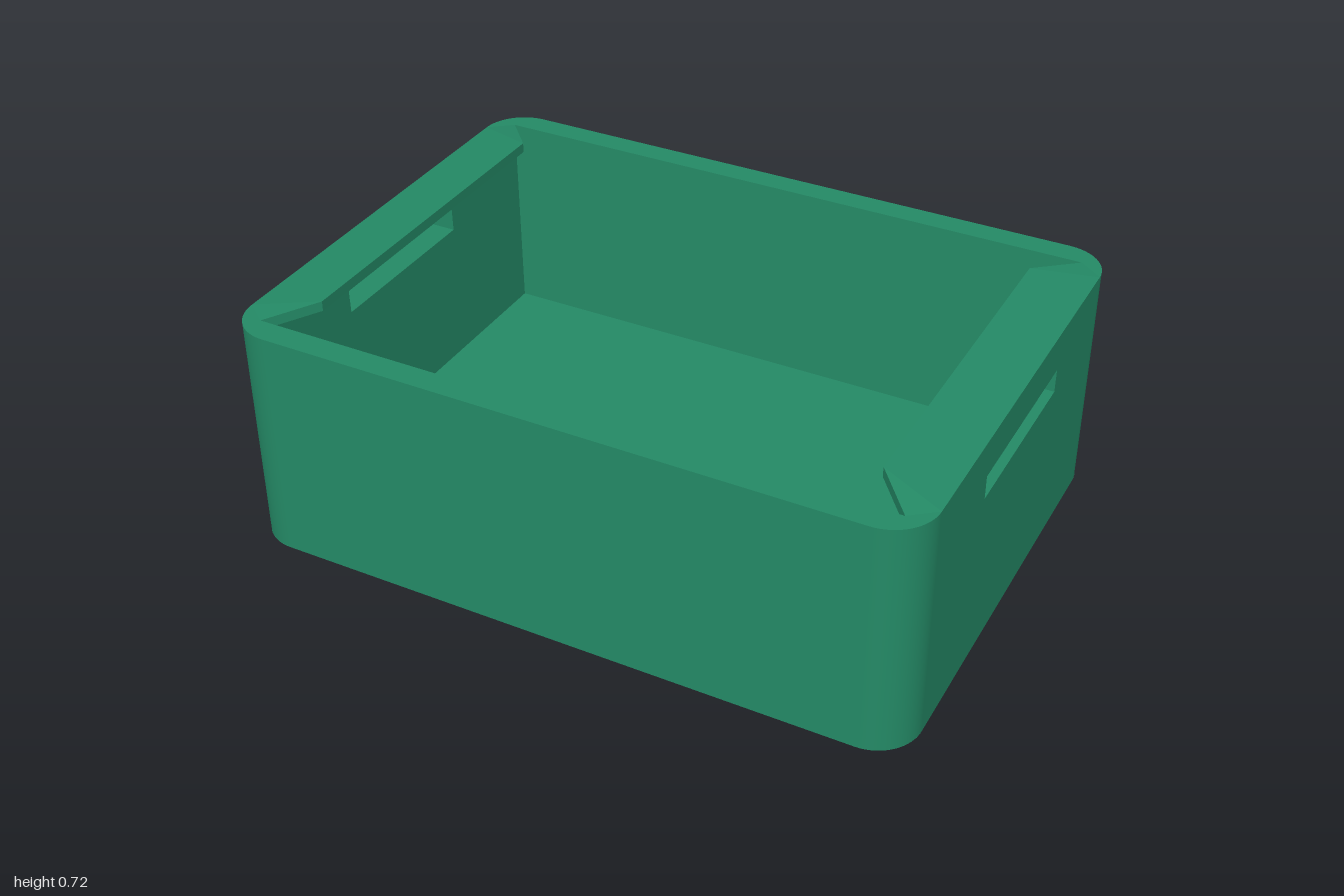
import * as THREE from 'three';

const W = 1, D = 0.73, H = 0.7, R = 0.13;       // outer half width, half depth, height, corner radius
const IX = 0.93, IZ = 0.655, DRAFT = 0.015;     // opening half sizes and wall taper
const FLOOR = 0.09;
const FX = 0.82, FZ = 0.525, FY = 0.72, T = 0.03; // inner edge of the end lip
const SZ = 0.27, SY0 = 0.515, SY1 = 0.585;      // handle slot

const green = new THREE.MeshStandardMaterial({ color: 0x248a66, side: THREE.DoubleSide });
green.name = 'green plastic';

// Flat-shaded polygons, each a list of 3 or 4 corners
function polygons(list) {
  const pos = [];
  for (const p of list)
    for (let i = 1; i < p.length - 1; i++) pos.push(...p[0], ...p[i], ...p[i + 1]);
  const g = new THREE.BufferGeometry();
  g.setAttribute('position', new THREE.Float32BufferAttribute(pos, 3));
  g.computeVertexNormals();
  return g;
}

function add(parent, name, geometry) {
  const m = new THREE.Mesh(geometry, green);
  m.name = name;
  parent.add(m);
  return m;
}

const innerX = y => IX - DRAFT * (H - y) / (H - FLOOR);

// Wall outline with the handle slot cut out
function slottedPanel(y0, halfBottom, halfTop) {
  const s = new THREE.Shape([[-halfBottom, y0], [halfBottom, y0], [halfTop, H], [-halfTop, H]]
    .map(p => new THREE.Vector2(...p)));
  s.holes.push(new THREE.Path([[-SZ, SY0], [-SZ, SY1], [SZ, SY1], [SZ, SY0]]
    .map(p => new THREE.Vector2(...p))));
  return new THREE.ShapeGeometry(s);
}

// Long wall on +z with its two rounded corners
function longWall() {
  const g = new THREE.Group();
  add(g, 'outerLongWall', new THREE.PlaneGeometry(2 * (W - R), H).translate(0, H / 2, D));
  const bx = IX - DRAFT, bz = IZ - DRAFT;
  add(g, 'innerLongWall', polygons([
    [[-bx, FLOOR, bz], [-IX, H, IZ], [IX, H, IZ], [bx, FLOOR, bz]]]));
  for (const s of [1, -1])
    add(g, 'roundedCorner', new THREE.CylinderGeometry(R, R, H, 10, 1, true, s > 0 ? 0 : -Math.PI / 2, Math.PI / 2)
      .translate(s * (W - R), H / 2, D - R));
  const rim = new THREE.Shape();
  rim.moveTo(IX, -IZ);
  rim.lineTo(W, R - D);
  rim.absarc(W - R, R - D, R, 0, -Math.PI / 2, true);
  rim.absarc(R - W, R - D, R, -Math.PI / 2, -Math.PI, true);
  rim.lineTo(-IX, -IZ);
  add(g, 'longRim', new THREE.ShapeGeometry(rim, 10).rotateX(-Math.PI / 2).translate(0, H, 0));
  return g;
}

// End wall on +x with handle slot and raised lip
function endWall() {
  const g = new THREE.Group();
  add(g, 'outerEndWall', slottedPanel(0, D - R, D - R).rotateY(Math.PI / 2).translate(W, 0, 0));

  const inner = slottedPanel(FLOOR, IZ - DRAFT, IZ).rotateY(-Math.PI / 2);
  const p = inner.attributes.position;
  for (let i = 0; i < p.count; i++) p.setX(i, innerX(p.getY(i)));
  inner.computeVertexNormals();
  add(g, 'innerEndWall', inner);

  const a = innerX(SY0), b = innerX(SY1);
  add(g, 'handleSlot', polygons([
    [[a, SY0, -SZ], [a, SY0, SZ], [W, SY0, SZ], [W, SY0, -SZ]],
    [[W, SY1, -SZ], [W, SY1, SZ], [b, SY1, SZ], [b, SY1, -SZ]],
    [[a, SY0, SZ], [b, SY1, SZ], [W, SY1, SZ], [W, SY0, SZ]],
    [[W, SY0, -SZ], [W, SY1, -SZ], [b, SY1, -SZ], [a, SY0, -SZ]]]));

  const lip = [
    [[W, H, D - R], [W, H, R - D], [FX, FY, -FZ], [FX, FY, FZ]],
    [[FX, FY, -FZ], [FX, FY - T, -FZ], [FX, FY - T, FZ], [FX, FY, FZ]],
    [[FX, FY - T, FZ], [FX, FY - T, -FZ], [IX, H - T, -IZ], [IX, H - T, IZ]]];
  const side = [
    [[W, H, D - R], [FX, FY, FZ], [IX, H, IZ]],
    [[FX, FY, FZ], [FX, FY - T, FZ], [IX, H - T, IZ], [IX, H, IZ]]];
  for (const f of side) lip.push(f, f.map(([x, y, z]) => [x, y, -z]).reverse());
  add(g, 'endLip', polygons(lip));
  return g;
}

export function createModel() {
  const model = new THREE.Group();
  model.name = 'storageCrate';

  // Walls, each built once and turned to the opposite side
  for (const [name, make] of [['longWall', longWall], ['endWall', endWall]])
    for (const turn of [0, Math.PI]) {
      const g = make();
      g.name = name;
      g.rotation.y = turn;
      model.add(g);
    }

  // Floor inside and rounded base underneath
  add(model, 'floor', new THREE.PlaneGeometry(2 * (IX - DRAFT), 2 * (IZ - DRAFT))
    .rotateX(-Math.PI / 2).translate(0, FLOOR, 0));
  const base = new THREE.Shape();
  [[1, 1], [-1, 1], [-1, -1], [1, -1]].forEach(([sx, sz], i) =>
    base.absarc(sx * (W - R), sz * (D - R), R, i * Math.PI / 2, (i + 1) * Math.PI / 2, false));
  add(model, 'base', new THREE.ShapeGeometry(base, 10).rotateX(Math.PI / 2));
  return model;
}
